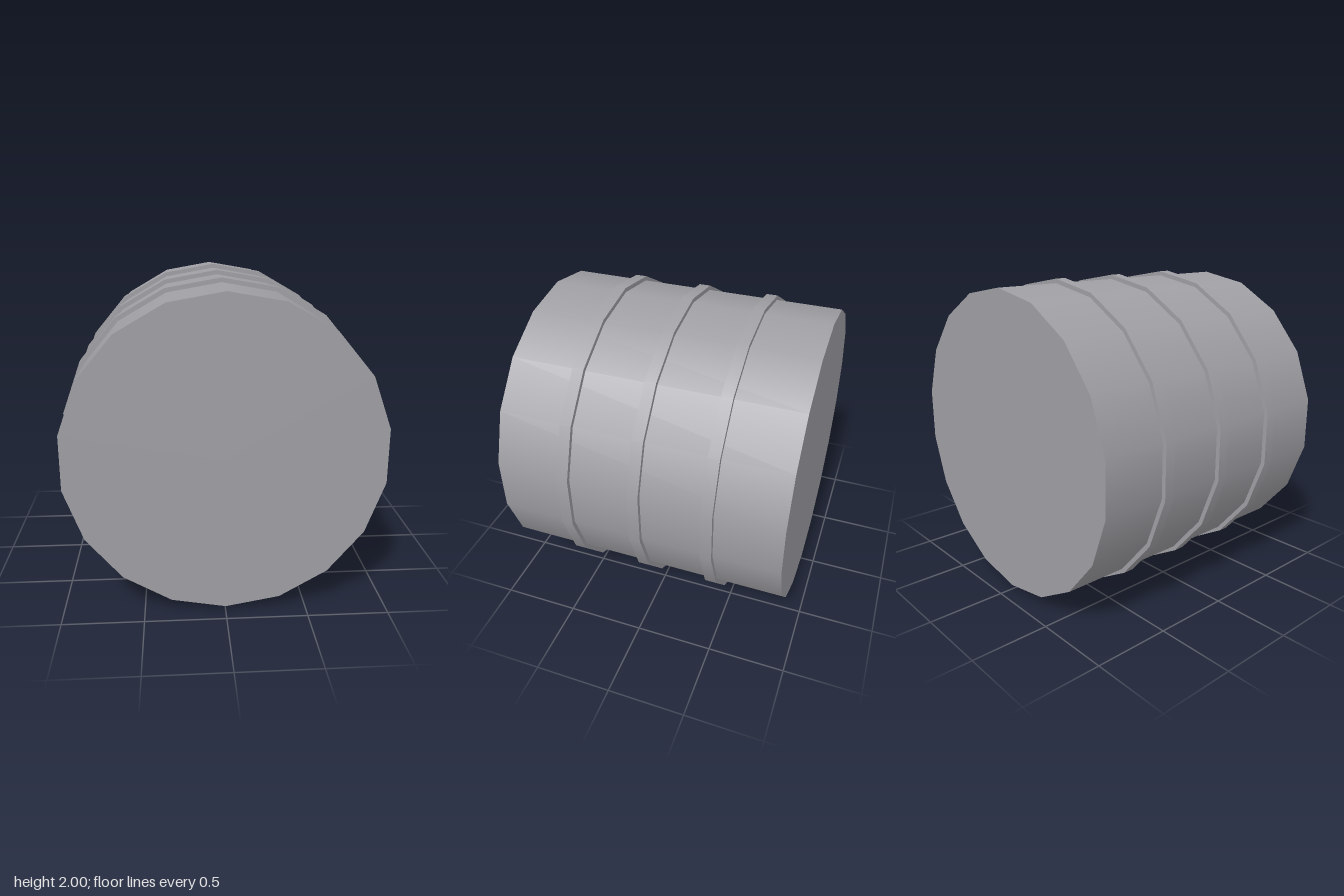
import * as THREE from 'three';

const SIDES = 18;

export function createModel() {
  const group = new THREE.Group();
  const material = new THREE.MeshStandardMaterial({ color: 0xa09fa4 });

  // Drum lying along z, with a corner of the polygon at the top
  const addDrum = (name, radius, length, z) => {
    const geometry = new THREE.CylinderGeometry(radius, radius, length, SIDES);
    geometry.rotateX(-Math.PI / 2);
    const mesh = new THREE.Mesh(geometry, material);
    mesh.name = name;
    mesh.position.set(0, 1, z);
    group.add(mesh);
  };

  // Barrel body with closed ends
  addDrum('body', 0.972, 1.82, 0);

  // Three raised hoops
  [['frontHoop', 0.456], ['middleHoop', 0], ['backHoop', -0.456]].forEach(([name, z]) =>
    addDrum(name, 1, 0.072, z));

  return group;
}
